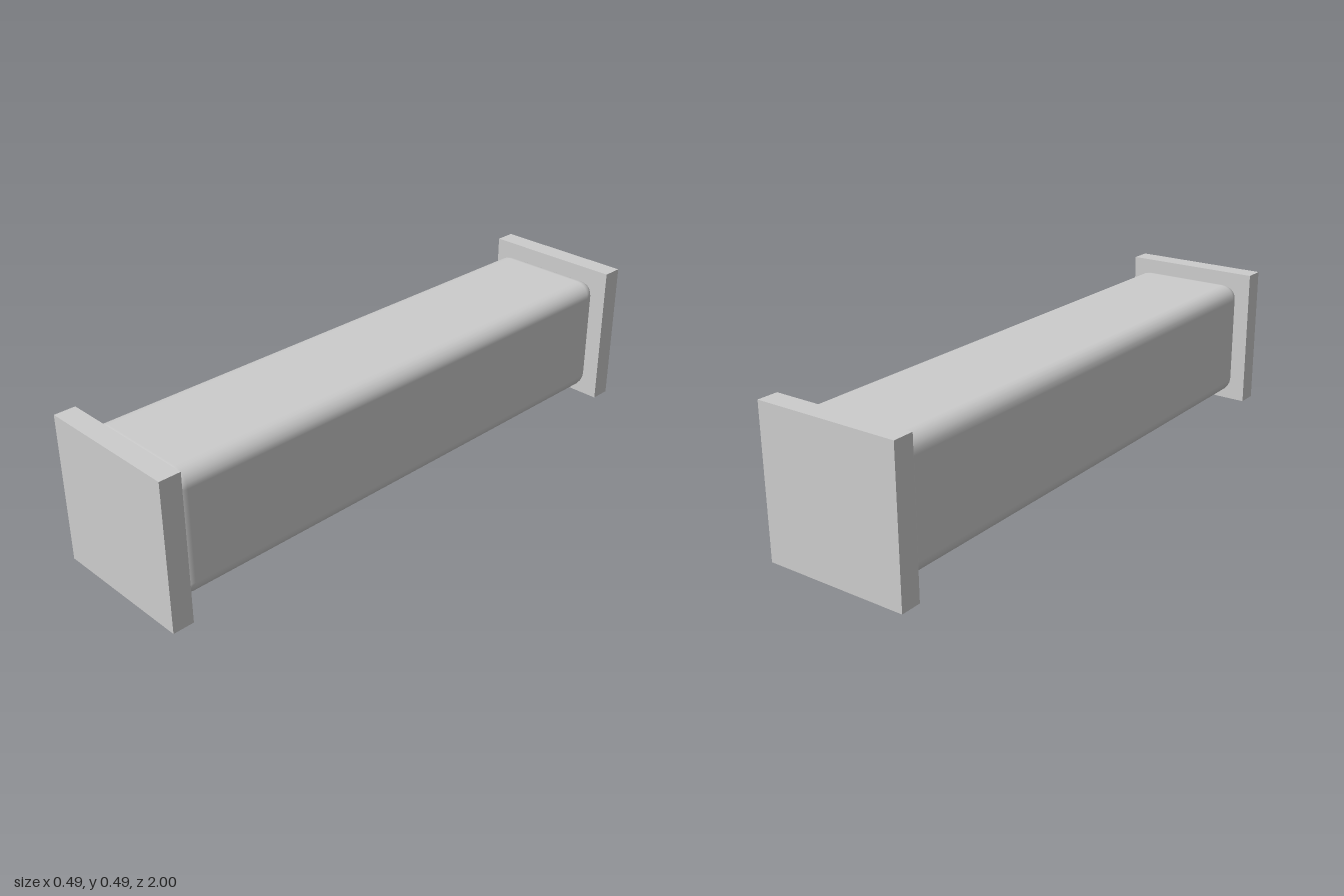
import * as THREE from 'three';
import { RoundedBoxGeometry } from 'three/addons/geometries/RoundedBoxGeometry.js';

export function createModel() {
  const model = new THREE.Group();
  model.name = 'beam';
  const grey = new THREE.MeshStandardMaterial({ color: 0xcccccc });
  grey.name = 'light grey';

  const size = 0.492; // side of the square end plates
  const thickness = 0.07;

  // Long bar with softly rounded edges, its ends sunk slightly into the plates
  const bar = new THREE.Mesh(new RoundedBoxGeometry(0.412, 0.412, 1.874, 3, 0.052), grey);
  bar.name = 'bar';
  bar.position.y = size / 2;
  model.add(bar);

  // Square plate at each end
  const plateGeometry = new THREE.BoxGeometry(size, size, thickness);
  for (const [name, side] of [['frontPlate', 1], ['backPlate', -1]]) {
    const plate = new THREE.Mesh(plateGeometry, grey);
    plate.name = name;
    plate.position.set(0, size / 2, side * (1 - thickness / 2));
    model.add(plate);
  }
  return model;
}
